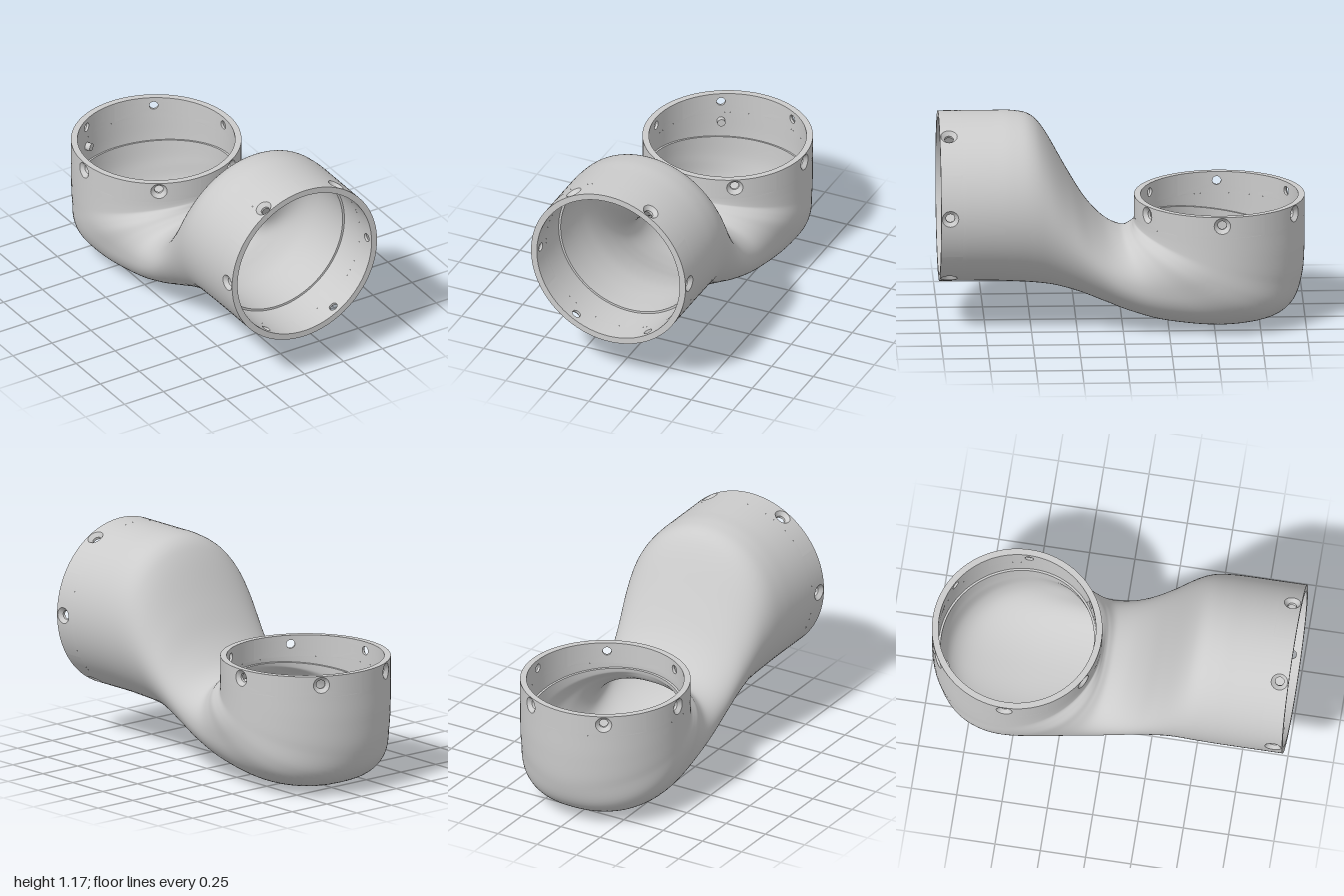
import * as THREE from 'three';

const material = new THREE.MeshStandardMaterial({ color: 0xcccccc, side: THREE.DoubleSide });
const R = 0.465, WALL = 0.035, LIP = 0.047, COLLAR = 0.12;
const HOLE_DEPTH = 0.05, HOLE_OUT = 0.045, HOLE_IN = 0.024;

// Pipe cross-sections: upper edge z,y | lower edge z,y | half width | roundness
const sections = [
  [0.88, 1.175, 0.88, 0.245, 0.465, 2],
  [0.72, 1.175, 0.72, 0.245, 0.465, 2],
  [0.60, 1.174, 0.60, 0.240, 0.463, 2],
  [0.50, 1.150, 0.48, 0.232, 0.455, 2],
  [0.42, 1.060, 0.36, 0.215, 0.437, 2],
  [0.30, 0.840, 0.22, 0.175, 0.410, 2],
  [0.20, 0.670, 0.08, 0.120, 0.393, 2],
  [0.10, 0.557, -0.06, 0.070, 0.386, 2.1],
  [0.01, 0.510, -0.25, 0.022, 0.392, 2.2],
  [-0.035, 0.520, -0.55, 0.002, 0.422, 2.4],
  [-0.053, 0.535, -0.80, 0.038, 0.452, 2.4],
  [-0.061, 0.550, -0.93, 0.115, 0.464, 2.2],
  [-0.065, 0.560, -0.983, 0.250, 0.465, 2],
  [-0.067, 0.570, -0.997, 0.420, 0.465, 2],
  [-0.068, 0.585, -0.998, 0.585, 0.465, 2],
];
const LAST = sections.length - 1;
const upper = new THREE.CatmullRomCurve3(
  sections.map(s => new THREE.Vector3(s[4], s[1], s[0])), false, 'catmullrom', 0.5);
const lower = new THREE.CatmullRomCurve3(
  sections.map(s => new THREE.Vector3(s[5], s[3], s[2])), false, 'catmullrom', 0.5);

// Skins a list of closed rings of points
function skin(name, rings) {
  const n = rings[0].length, index = [];
  for (let i = 0; i < rings.length - 1; i++) {
    for (let j = 0; j < n; j++) {
      const a = i * n + j, b = i * n + (j + 1) % n;
      index.push(a, b, a + n, b, b + n, a + n);
    }
  }
  const geometry = new THREE.BufferGeometry().setFromPoints(rings.flat());
  geometry.setIndex(index);
  geometry.computeVertexNormals();
  const mesh = new THREE.Mesh(geometry, material);
  mesh.name = name;
  return mesh;
}

// One pipe cross-section at position s (in section numbers), shrunk by inset
function pipeRing(s, inset) {
  const a = upper.getPoint(s / LAST), b = lower.getPoint(s / LAST);
  const w = a.x - inset, power = 2 / Math.max(2, b.x);
  const hy = (a.y - b.y) / 2, hz = (a.z - b.z) / 2;
  const k = 1 - inset / Math.hypot(hy, hz);
  const round = v => Math.sign(v) * Math.abs(v) ** power;
  return Array.from({ length: 96 }, (_, i) => {
    const t = i / 96 * Math.PI * 2;
    const c = round(Math.cos(t)) * k;
    return new THREE.Vector3(w * round(Math.sin(t)),
      (a.y + b.y) / 2 + hy * c, (a.z + b.z) / 2 + hz * c);
  });
}

function pipe(name, from, to, inset) {
  const steps = Math.max(4, Math.round((to - from) * 6));
  return skin(name, Array.from({ length: steps + 1 },
    (_, i) => pipeRing(from + (to - from) * i / steps, inset)));
}

// Collar: rim at local y = 0, wall running down, six countersunk holes
function collar(name) {
  const group = new THREE.Group();
  group.name = name;
  const half = Math.PI / 6;

  // Border of one sixth of the wall, in -1..1 coordinates
  const border = [], N = 20, M = 6;
  for (let i = 0; i < N; i++) border.push([-1 + 2 * i / N, -1]);
  for (let i = 0; i < M; i++) border.push([1, -1 + 2 * i / M]);
  for (let i = 0; i < N; i++) border.push([1 - 2 * i / N, 1]);
  for (let i = 0; i < M; i++) border.push([-1, 1 - 2 * i / M]);

  const onWall = (r, theta, y) =>
    new THREE.Vector3(r * Math.cos(theta), y, r * Math.sin(theta));
  const holeRing = (r, hole, centre) => border.map(([u, v]) => {
    const t = Math.atan2(v, u);
    return onWall(r, centre + Math.cos(t) * hole / r, -HOLE_DEPTH + Math.sin(t) * hole);
  });

  // Wall patch blended from the hole edge out to the patch border
  const patch = (r, hole, centre) => {
    const rings = [];
    for (let k = 0; k <= 8; k++) {
      const f = k / 8;
      rings.push(border.map(([u, v]) => {
        const t = Math.atan2(v, u);
        const angle = THREE.MathUtils.lerp(Math.cos(t) * hole / r, u * half, f);
        const y = THREE.MathUtils.lerp(-HOLE_DEPTH + Math.sin(t) * hole,
          -COLLAR / 2 + v * COLLAR / 2, f);
        return onWall(r, centre + angle, y);
      }));
    }
    return rings;
  };

  for (let i = 0; i < 6; i++) {
    const c = i * Math.PI / 3;
    group.add(
      skin('collarOuterWall', patch(R, HOLE_OUT, c)),
      skin('collarInnerWall', patch(R - WALL, HOLE_IN, c)),
      skin('countersink', [holeRing(R, HOLE_OUT, c), holeRing(R - WALL * 0.6, HOLE_IN, c)]),
      skin('screwHole', [holeRing(R - WALL * 0.6, HOLE_IN, c), holeRing(R - WALL, HOLE_IN, c)]));
  }

  const rim = new THREE.Mesh(new THREE.RingGeometry(R - WALL, R, 120), material);
  rim.rotation.x = -Math.PI / 2;
  rim.name = 'rim';
  group.add(rim);

  // Small locating peg on the inner wall below one hole
  const angle = Math.PI * 4 / 3;
  const peg = new THREE.Mesh(new THREE.CylinderGeometry(0.022, 0.022, 0.05, 20), material);
  peg.position.copy(onWall(0.425, angle, -0.17));
  peg.quaternion.setFromUnitVectors(new THREE.Vector3(0, 1, 0), onWall(1, angle, 0));
  peg.name = 'locatingPeg';
  group.add(peg);
  return group;
}

export function createModel() {
  const model = new THREE.Group();
  model.name = 'pipeElbow';

  // Outer skin, and bore with a small lip behind each socket
  model.add(
    pipe('outerBody', 0, LAST, 0),
    pipe('frontSocketBore', 0, 1, WALL),
    pipe('bore', 1, LAST - 1, LIP),
    pipe('upperSocketBore', LAST - 1, LAST, WALL));
  for (const s of [1, LAST - 1]) {
    model.add(skin('boreLip', [pipeRing(s, WALL), pipeRing(s, LIP)]));
  }

  const front = collar('frontCollar');
  front.position.set(0, 0.71, 1);
  front.rotation.x = Math.PI / 2;
  const top = collar('upperCollar');
  top.position.set(0, 0.705, -0.533);
  model.add(front, top);
  return model;
}
